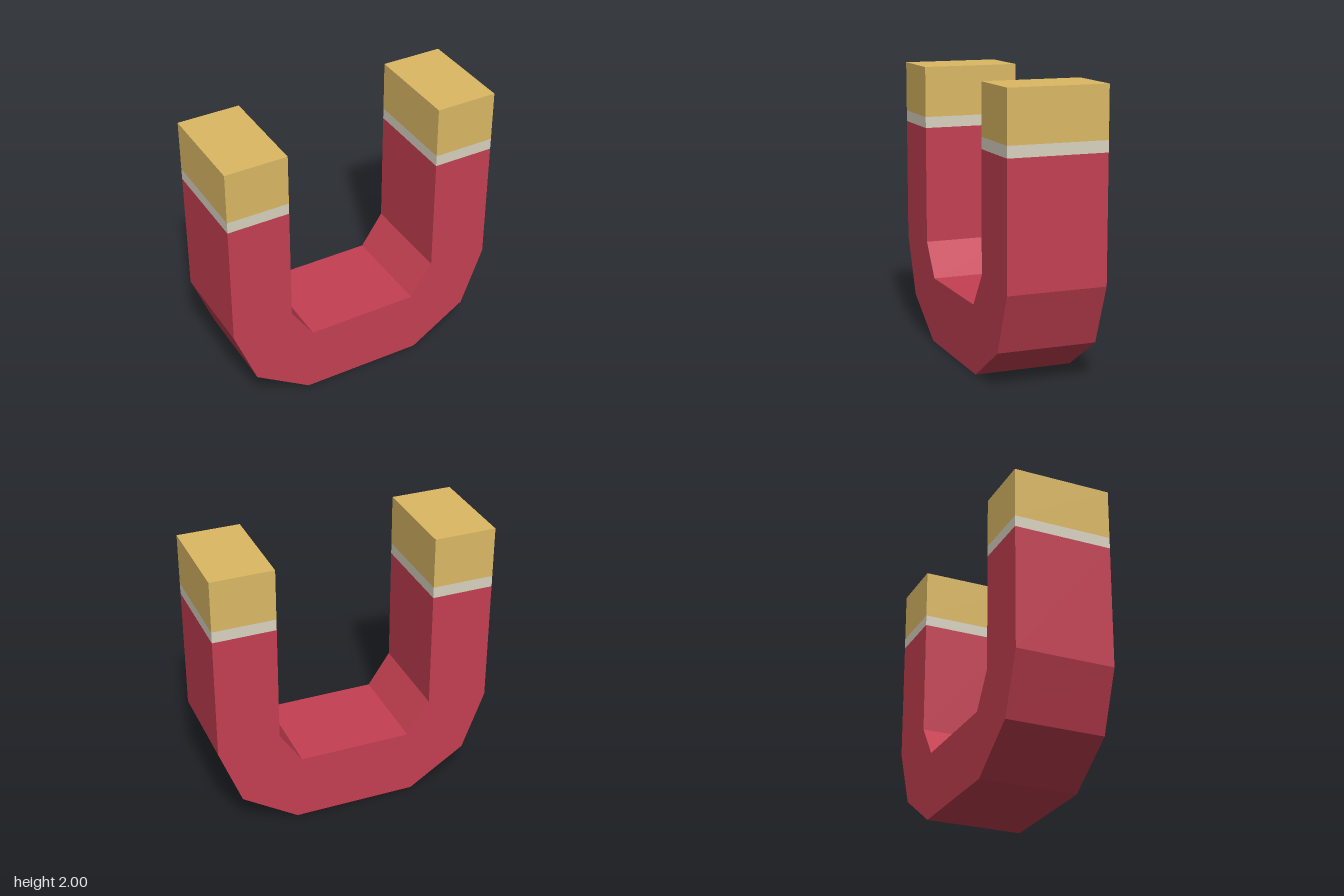
import * as THREE from 'three';

const DEPTH = 0.7;
const LEG_WIDTH = 0.44;
const LEG_X = 1 - LEG_WIDTH / 2;

const material = (color) => new THREE.MeshStandardMaterial({ color, flatShading: true });

export function createModel() {
  const group = new THREE.Group();
  const red = material(0xc54052);
  const cream = material(0xdad3c1);
  const gold = material(0xdcb964);

  // Faceted U body: right half of the outline, from inner leg top round to bottom
  const inner = [[0.4, 0.48], [0.56, 0.72], [0.56, 1.56]];
  const outer = [[1, 1.56], [1, 0.68], [0.84, 0.26], [0.44, 0]];
  const half = [...inner, ...outer];
  const mirrored = half.map(([x, y]) => [-x, y]).reverse();
  const outline = [...half, ...mirrored].map(([x, y]) => new THREE.Vector2(x, y));
  const bodyGeometry = new THREE.ExtrudeGeometry(new THREE.Shape(outline), {
    depth: DEPTH, bevelEnabled: false,
  });
  bodyGeometry.translate(0, 0, -DEPTH / 2);
  const body = new THREE.Mesh(bodyGeometry, red);
  body.name = 'magnetBody';
  group.add(body);

  // Block spanning two heights on one leg
  const addBlock = (name, x, bottom, top, mat) => {
    const mesh = new THREE.Mesh(new THREE.BoxGeometry(LEG_WIDTH, top - bottom, DEPTH), mat);
    mesh.position.set(x, (bottom + top) / 2, 0);
    mesh.name = name;
    group.add(mesh);
  };

  // Pale band and gold pole tip on each leg
  for (const [side, sign] of [['left', 1], ['right', -1]]) {
    addBlock(`${side}Band`, sign * LEG_X, 1.56, 1.64, cream);
    addBlock(`${side}PoleTip`, sign * LEG_X, 1.64, 2, gold);
  }
  return group;
}
